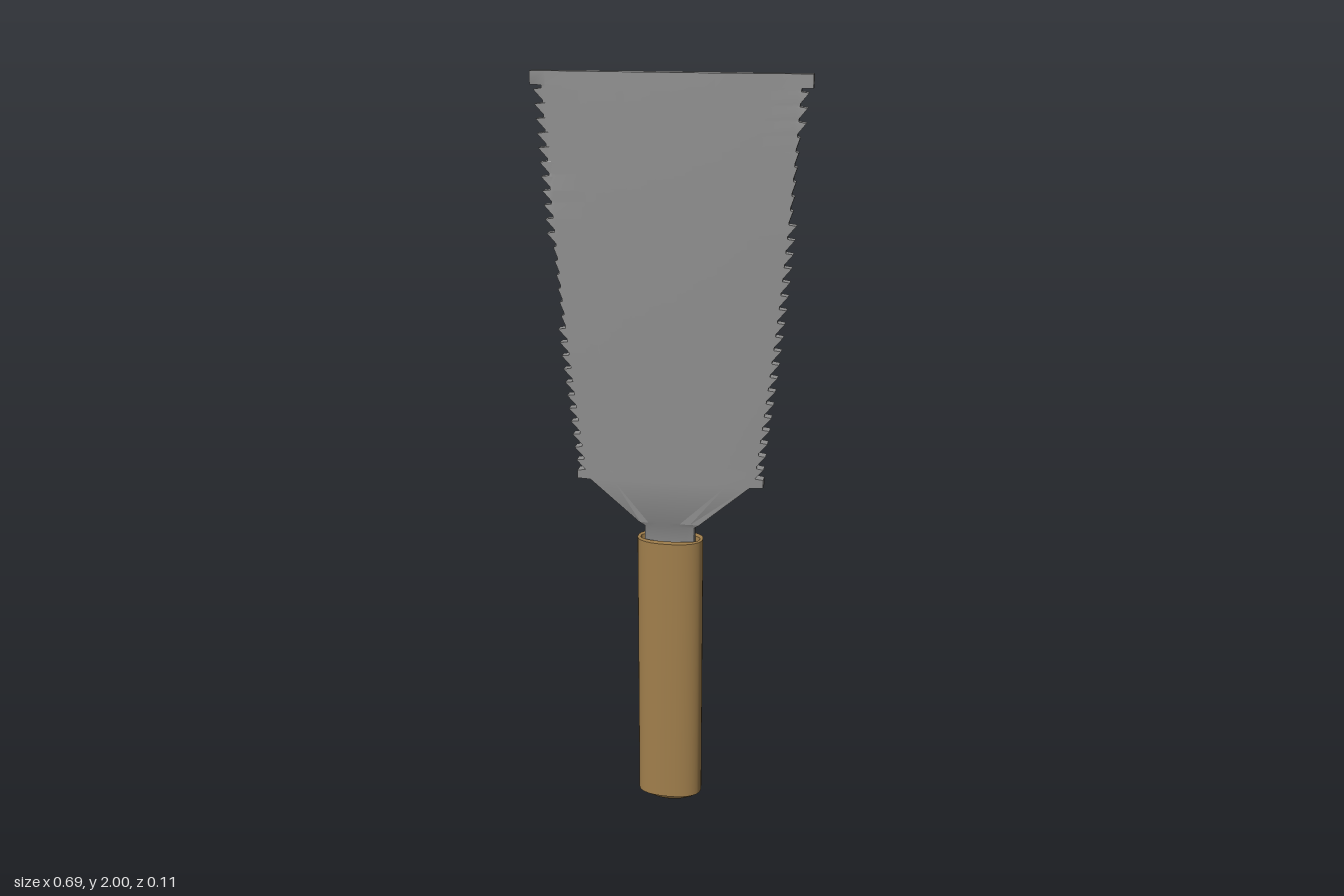
import * as THREE from 'three';
import { toCreasedNormals } from 'three/addons/utils/BufferGeometryUtils.js';

// Joins closed rings (counter-clockwise from above, bottom to top) and caps both ends
function loft(rings, crease) {
  const pos = [], index = [], n = rings[0].length, last = rings.length - 1;
  for (const ring of rings) for (const p of ring) pos.push(...p);
  for (let r = 0; r < last; r++) {
    for (let i = 0; i < n; i++) {
      const a = r * n + i, b = r * n + (i + 1) % n;
      index.push(a, b, b + n, a, b + n, a + n);
    }
  }
  for (const r of [0, last]) {
    const c = pos.length / 3;
    pos.push(0, rings[r][0][1], 0);
    for (let i = 0; i < n; i++) {
      const a = r * n + i, b = r * n + (i + 1) % n;
      if (r === 0) index.push(c, b, a);
      else index.push(c, a, b);
    }
  }
  const g = new THREE.BufferGeometry();
  g.setAttribute('position', new THREE.Float32BufferAttribute(pos, 3));
  g.setIndex(index);
  return toCreasedNormals(g, crease);
}

// Rounded oval ring, slightly squarer than an ellipse
function oval(y, rx, rz) {
  const ring = [], bend = (v) => Math.sign(v) * Math.abs(v) ** 0.85;
  for (let i = 0; i < 40; i++) {
    const a = (i / 40) * Math.PI * 2;
    ring.push([rx * bend(Math.cos(a)), y, -rz * bend(Math.sin(a))]);
  }
  return ring;
}

// Blade half-thickness: full in the middle, thinning to the edges
function halfThickness(x, y) {
  if (y < 0.84) return 0.014;
  const t = THREE.MathUtils.clamp((Math.abs(x) - 0.13) / 0.18, 0, 1);
  const flare = Math.max(0, Math.abs(x) - 0.315) * 0.1;
  return 0.02 - 0.007 * t + flare;
}

// Blade cross-section: body half-width plus the reach of each edge
function section(y, body, left = body, right = body) {
  const xs = [right, body * 0.97, body * 0.7, body * 0.35, 0,
    -body * 0.35, -body * 0.7, -body * 0.97, -left];
  const back = xs.map((x) => [x, y, -halfThickness(x, y)]);
  const front = xs.map((x) => [x, y, halfThickness(x, y)]).reverse();
  return [...back, ...front];
}

export function createModel() {
  const steel = new THREE.MeshStandardMaterial({ color: 0x8e8e8e });
  steel.name = 'steel';
  const wood = new THREE.MeshStandardMaterial({ color: 0xa17f4c });
  wood.name = 'wood';
  const model = new THREE.Group();
  model.name = 'widePullSaw';

  const add = (name, geometry, material) => {
    const mesh = new THREE.Mesh(geometry, material);
    mesh.name = name;
    model.add(mesh);
  };

  // Handle: domed butt, straight oval grip, shallow socket at the top
  add('handle', loft([
    oval(0, 0.02, 0.014), oval(0.005, 0.045, 0.021), oval(0.014, 0.068, 0.029),
    oval(0.03, 0.085, 0.037), oval(0.031, 0.088, 0.053),
    oval(0.795, 0.088, 0.053), oval(0.794, 0.08, 0.03), oval(0.775, 0.078, 0.029),
  ], 0.5), wood);

  // Blade: neck, sloping shoulders and square heel
  const rows = [
    section(0.76, 0.066), section(0.83, 0.066), section(0.841, 0.08),
    section(0.953, 0.212), section(0.954, 0.212, 0.247, 0.247),
    section(0.976, 0.215, 0.247, 0.247),
  ];
  // Saw teeth on both edges, worn shorter along one stretch of each side
  const count = 28, start = 0.979, pitch = (1.966 - start) / count;
  const width = (y) => 0.225 + 0.093 * ((y - 0.98) / 0.99) + 0.01 * Math.sin(Math.PI * (y - 0.98) / 0.99);
  for (let i = 0; i < count; i++) {
    const y = start + i * pitch, tip = y + pitch * 0.72, shut = y + pitch * 0.8;
    const left = y > 1.36 && y < 1.56 ? 0.008 : 0.021;
    const right = y > 1.62 && y < 1.84 ? 0.007 : 0.019;
    const w = width(tip);
    rows.push(section(y, width(y)), section(tip, w, w + left, w + right), section(shut, width(shut)));
  }
  // Overhanging square tip
  rows.push(section(1.966, 0.318), section(1.967, 0.318, 0.346, 0.346), section(2, 0.318, 0.346, 0.346));
  add('blade', loft(rows, 0.5), steel);

  return model;
}
